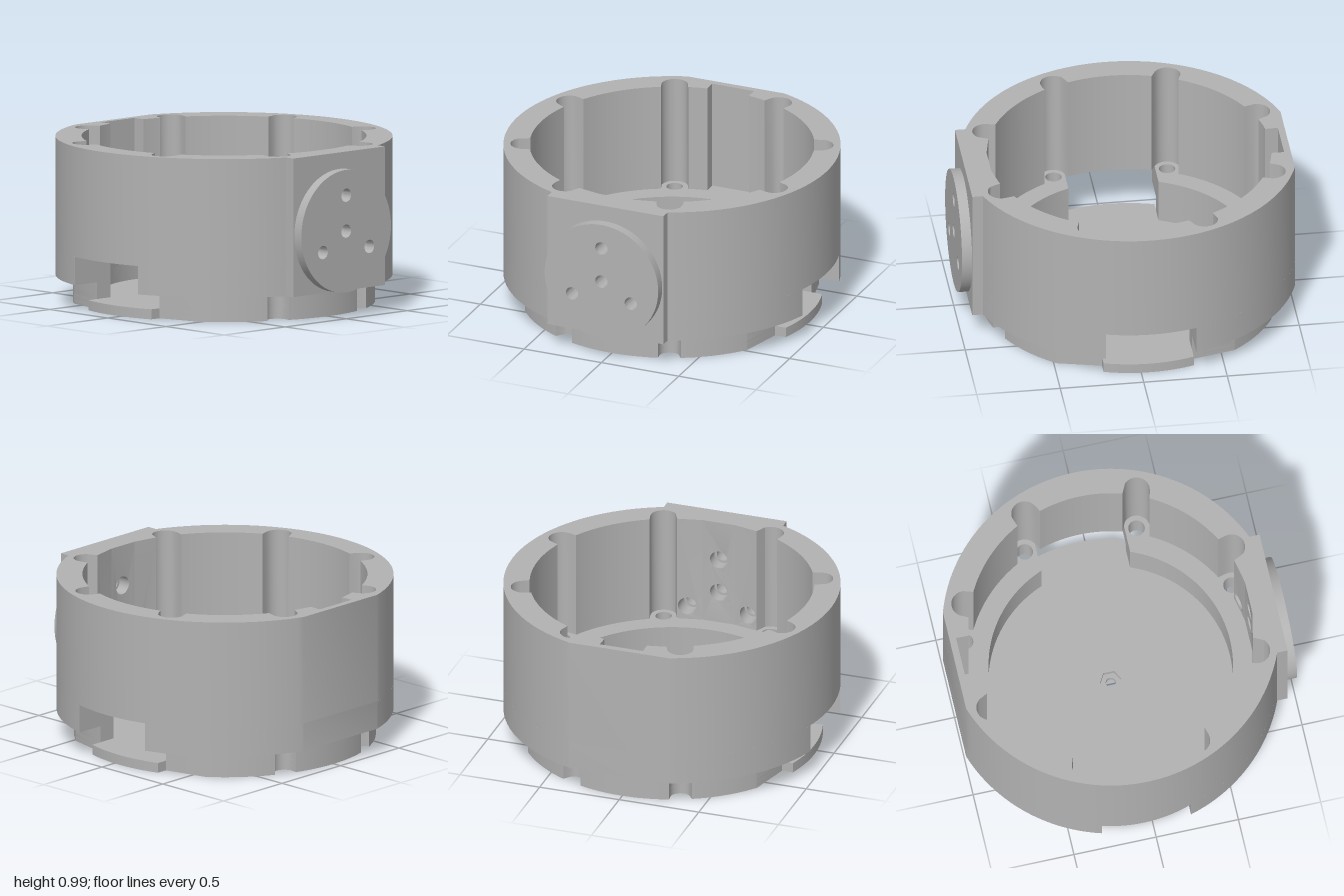
import * as THREE from 'three';
import { toCreasedNormals } from 'three/addons/utils/BufferGeometryUtils.js';

const { PI, acos, asin, atan2, cos, sin, sqrt, abs, hypot } = Math;
const grey = new THREE.MeshStandardMaterial({ color: 0xb2b2b2 });
grey.name = 'grey';

// Main dimensions, measured from the housing axis
const R = 1, CAVITY = 0.845, BORE = 0.725, BASE = 0.895;
const WINDOW = 0.27, FLAT = 0.95, PAD_X = 0.99, PAD_Z = 0.375, PANEL = 0.25;
const screws = [[0.34, 0.81], [0.81, 0.335]];
const screwDist = 0.878;
const screwAngles = [];
for (const [x, z] of screws)
  for (const sx of [1, -1]) for (const sz of [1, -1]) screwAngles.push(atan2(z * sz, x * sx));

const arc = (r, a0, a1, n = 64, cx = 0, cy = 0) => Array.from({ length: n + 1 }, (_, i) => {
  const a = a0 + (a1 - a0) * i / n;
  return [cx + r * cos(a), cy + r * sin(a)];
});
const circle = (r, cx = 0, cy = 0, n = 32) => arc(r, 0, 2 * PI, n, cx, cy).slice(0, n);
const vec = (pts) => pts.map(([x, y]) => new THREE.Vector2(x, y));

function extrude(pts, holes, depth) {
  const shape = new THREE.Shape(vec(pts));
  shape.holes = holes.map((h) => new THREE.Path(vec(h)));
  return new THREE.ExtrudeGeometry(shape, { depth, bevelEnabled: false });
}

export function createModel() {
  const model = new THREE.Group();
  model.name = 'housing';
  const body = new THREE.Group();
  body.name = 'body';
  body.position.x = -0.05;
  model.add(body);

  const add = (name, geo) => {
    const mesh = new THREE.Mesh(toCreasedNormals(geo, 0.45), grey);
    mesh.name = name;
    body.add(mesh);
  };
  // Plan outline raised from y0 to y1
  const slab = (name, pts, holes, y0, y1) =>
    add(name, extrude(pts, holes, y1 - y0).rotateX(-PI / 2).translate(0, y0, 0));

  // Signed angle from a to b, and distance along a ray to a screw circle
  const delta = (a, b) => atan2(sin(a - b), cos(a - b));
  const screwHit = (a, rho, side) => {
    for (const s of screwAngles) {
      const d = delta(a, s), q = rho * rho - (screwDist * sin(d)) ** 2;
      if (abs(d) < 0.2 && q > 0) return screwDist * cos(d) + side * sqrt(q);
    }
    return null;
  };
  const polar = (fn, a0, a1, n) => Array.from({ length: n + 1 }, (_, i) => {
    const a = a0 + (a1 - a0) * i / n, r = fn(a);
    return [r * cos(a), r * sin(a)];
  });

  const aPad = asin(PAD_Z), aFlat = acos(FLAT), aWin = acos(WINDOW);
  const aBore = acos(WINDOW / BORE), aPanel = asin(PANEL / CAVITY);

  // Upper wall: cavity with round screw pockets and a recess behind the flat
  const cavity = (a) => {
    const d = delta(a, PI);
    if (abs(d) < 0.5 && abs(0.91 * Math.tan(d)) < 0.14) return 0.91 / cos(d);
    return Math.max(CAVITY, screwHit(a, 0.08, 1) ?? 0);
  };
  slab('upperWall', [
    [PAD_X, PANEL], [PAD_X, PAD_Z],
    ...arc(R, aPad, PI - aFlat), ...arc(R, PI + aFlat, 2 * PI - aPad),
    [PAD_X, -PAD_Z], [PAD_X, -PANEL],
    ...polar(cavity, 2 * PI - aPanel, aPanel, 500),
  ], [], 0.33, 0.99);

  // Mounting wall behind the disc: three columns drilled and counterbored
  const bolts = [[0, 0.74], [0, 0.525], [0.19, 0.415], [-0.19, 0.415]];
  for (const [z0, z1] of [[-PANEL, -0.1], [-0.1, 0.1], [0.1, PANEL]]) {
    const own = bolts.filter(([z]) => z > z0 && z < z1);
    const rect = [[z0, 0.33], [z1, 0.33], [z1, 0.99], [z0, 0.99]];
    const layer = (r, x0, x1) => extrude(rect, own.map(([z, y]) => circle(r, z, y)), x1 - x0)
      .rotateY(PI / 2).translate(x0, 0, 0);
    const inner = layer(0.055, 0.7, 0.92);
    const p = inner.attributes.position;
    for (let i = 0; i < p.count; i++) // curve the inner face to the cavity
      if (p.getX(i) < 0.75) p.setX(i, sqrt(CAVITY ** 2 - p.getZ(i) ** 2));
    add('mountWallInner', inner);
    add('mountWallOuter', layer(0.04, 0.92, PAD_X));
  }

  // Round mounting disc on the pad
  add('mountDisc', extrude(circle(0.367, 0, 0.525, 96), bolts.map(([z, y]) => circle(0.04, z, y)), 0.06)
    .rotateY(PI / 2).translate(PAD_X, 0, 0));

  // Screw flange, split by the front and rear windows
  const flangeHoles = (side) => screws.flatMap(([x, z]) =>
    [1, -1].map((s) => circle(0.049, x * side, z * s)));
  slab('flangeLeft', [
    ...arc(R, -aWin, -aPad), [PAD_X, -PAD_Z], [PAD_X, PAD_Z],
    ...arc(R, aPad, aWin), ...arc(BORE, aBore, -aBore),
  ], flangeHoles(1), 0.16, 0.33);
  slab('flangeRight', [
    ...arc(R, PI - aWin, PI - aFlat), ...arc(R, PI + aFlat, PI + aWin),
    ...arc(BORE, PI + aBore, PI - aBore),
  ], flangeHoles(-1), 0.16, 0.33);

  // Base: outline bitten by the screw holes, chamfered beside the windows
  const aCut = atan2(0.72, 0.53);
  const rim = (a) => Math.min(BASE, screwHit(a, 0.065, -1) ?? BASE);
  const sideRim = (mid) => polar(rim, mid - aCut, mid + aCut, 160);
  const tongue = acos(WINDOW / BASE);
  const outline = [
    ...sideRim(0), [WINDOW, 0.785],
    ...arc(BASE, tongue, PI - tongue, 32), [-WINDOW, 0.785],
    ...sideRim(PI), [-WINDOW, -0.785],
    ...arc(BASE, PI + tongue, 2 * PI - tongue, 32), [WINDOW, -0.785],
  ];
  slab('basePlate', outline, [circle(0.03)], 0, 0.03);
  slab('baseFloor', outline, [circle(0.065, 0, 0, 6)], 0.03, 0.06); // hex nut seat
  for (const [name, mid, s] of [['baseWallLeft', 0, 1], ['baseWallRight', PI, -1]])
    slab(name, [
      [WINDOW * s, -0.785 * s], ...sideRim(mid), [WINDOW * s, 0.785 * s],
      ...arc(BORE, mid + aBore, mid - aBore),
    ], [], 0.06, 0.16);

  return model;
}
